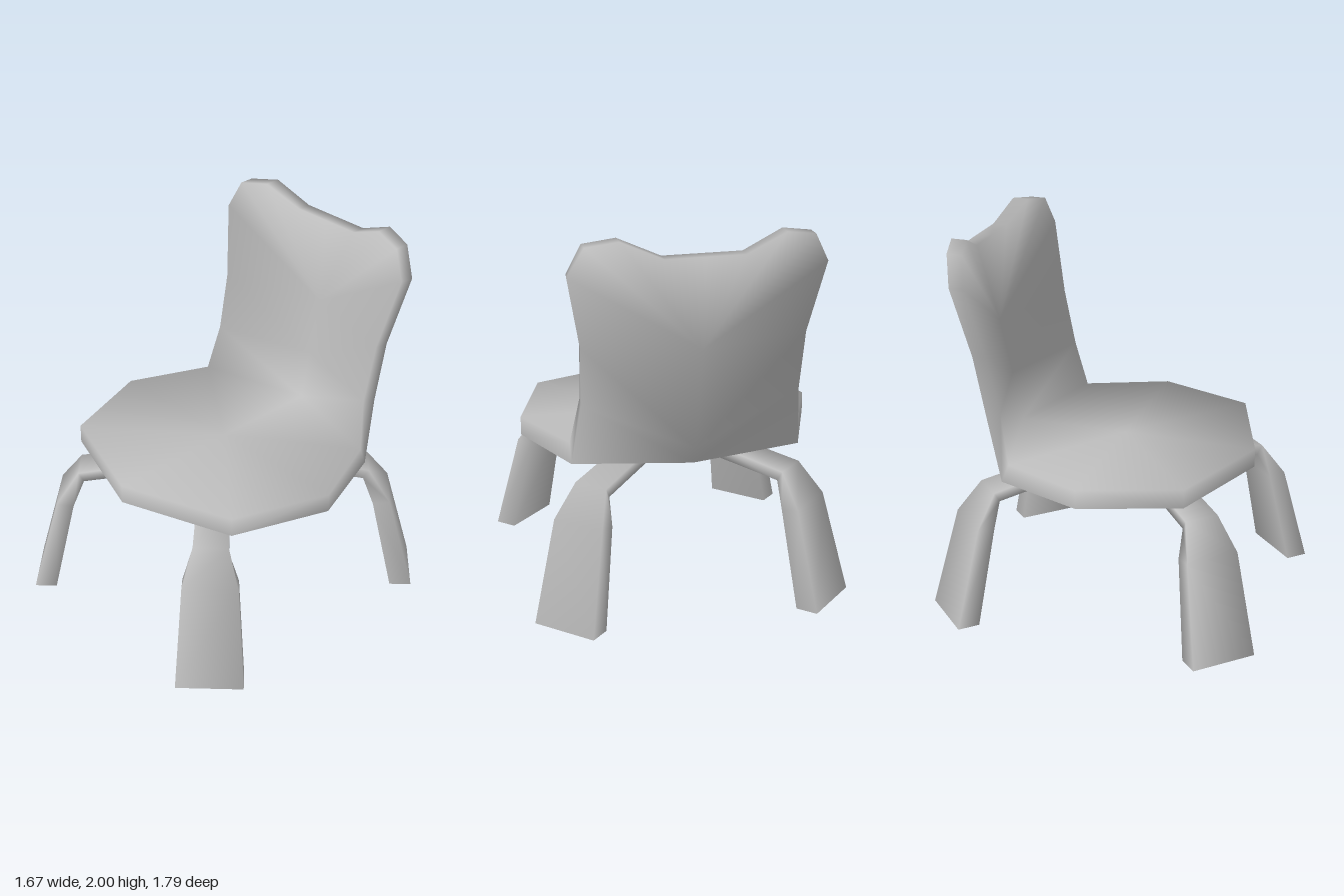
import * as THREE from 'three';
import { mergeVertices } from 'three/addons/utils/BufferGeometryUtils.js';

// Shells and legs are hollow and open underneath, so both sides show
const grey = new THREE.MeshStandardMaterial({ color: 0xbcbcbc, side: THREE.DoubleSide });
grey.name = 'light grey';

// Scale triangles by (sx, 1, sz), keeping them facing outward
function mirrored(tris, sx, sz) {
  return tris.map((tri) => {
    const t = tri.map(([x, y, z]) => [x * sx, y, z * sz]);
    return sx * sz < 0 ? t.reverse() : t;
  });
}

// Smooth normals weighted by corner angle, so thin edges look rounded
function softNormals(geo) {
  const pos = geo.attributes.position;
  const sums = Array.from({ length: pos.count }, () => new THREE.Vector3());
  const face = new THREE.Triangle();
  const normal = new THREE.Vector3();
  for (let i = 0; i < geo.index.count; i += 3) {
    const ids = [0, 1, 2].map((k) => geo.index.getX(i + k));
    face.setFromAttributeAndIndices(pos, ...ids);
    face.getNormal(normal);
    const p = [face.a, face.b, face.c];
    ids.forEach((id, k) => {
      const u = p[(k + 1) % 3].clone().sub(p[k]);
      const v = p[(k + 2) % 3].clone().sub(p[k]);
      sums[id].addScaledVector(normal, u.angleTo(v));
    });
  }
  const flat = sums.flatMap((n) => n.normalize().toArray());
  geo.setAttribute('normal', new THREE.Float32BufferAttribute(flat, 3));
}

// Smooth mesh from a list of triangles, sharing equal corners
function smoothMesh(tris, name) {
  let geo = new THREE.BufferGeometry();
  geo.setAttribute('position', new THREE.Float32BufferAttribute(tris.flat(2), 3));
  geo = mergeVertices(geo, 1e-4);
  softNormals(geo);
  const mesh = new THREE.Mesh(geo, grey);
  mesh.name = name;
  return mesh;
}

// Seat and backrest: one bent shell, hollow under the seat
function seatShell() {
  // Half of the rim, from the front of the seat to the top of the back: [inner, outer]
  const rim = [
    [[0, 0.88, 0.72], [0, 0.78, 0.72]],
    [[0.6, 0.88, 0.51], [0.6, 0.78, 0.51]],
    [[0.78, 0.88, 0], [0.78, 0.78, 0]],
    [[0.6, 0.88, -0.43], [0.6, 0.78, -0.47]],
    [[0.555, 1.14, -0.485], [0.565, 1.12, -0.56]],
    [[0.565, 1.44, -0.55], [0.575, 1.44, -0.62]],
    [[0.64, 1.82, -0.63], [0.65, 1.82, -0.7]],
    [[0.57, 1.97, -0.66], [0.57, 1.97, -0.74]],
    [[0.41, 2, -0.7], [0.41, 2, -0.785]],
    [[0.2, 1.91, -0.74], [0.2, 1.91, -0.815]],
    [[0, 1.91, -0.74], [0, 1.91, -0.815]],
  ];
  // Centre line: crease, lower back, middle of back
  const mid = [
    [[0, 0.88, -0.59], [0, 0.78, -0.6]],
    [[0, 1.14, -0.645], [0, 0.88, -0.66]],
    [[0, 1.44, -0.71], [0, 1.44, -0.78]],
  ];
  const half = [];

  // Seat top
  const seatMiddle = [0, 0.88, 0];
  for (let i = 0; i < 3; i++) half.push([seatMiddle, rim[i][0], rim[i + 1][0]]);
  half.push([seatMiddle, rim[3][0], mid[0][0]]);

  // Front and rear sheets of the backrest
  const sheet = [
    [mid[0], rim[3], rim[4]], [mid[0], rim[4], mid[1]],
    [mid[1], rim[4], rim[5]], [mid[1], rim[5], mid[2]],
  ];
  for (let i = 5; i < 10; i++) sheet.push([mid[2], rim[i], rim[i + 1]]);
  for (const tri of sheet) {
    half.push(tri.map((p) => p[0]));
    half.push(tri.map((p) => p[1]).reverse());
  }

  // Edge wall around the seat and backrest
  for (let i = 0; i < rim.length - 1; i++) {
    const [a, a2] = rim[i];
    const [b, b2] = rim[i + 1];
    half.push([b, a, a2], [b, a2, b2]);
  }
  return smoothMesh([...half, ...mirrored(half, -1, 1)], 'seatAndBack');
}

// One bent, flaring hollow leg running along the diagonal
function legTriangles() {
  // Sections from foot to inner end: outer reach, outer y, inner reach, inner y, half width
  const rings = [
    [0.71, 0, 0.627, 0, 0.125],
    [0.61, 0.53, 0.545, 0.52, 0.102],
    [0.525, 0.7, 0.505, 0.65, 0.065],
    [0.25, 0.765, 0.25, 0.705, 0.06],
  ].map(([to, yo, ti, yi, h]) => {
    const at = (t, y, s) => [t + s, y, t + 0.058 - s];
    return [at(to, yo, -h), at(to, yo, h), at(ti, yi, h), at(ti, yi, -h)];
  });
  const tris = [];
  for (let r = 0; r < rings.length - 1; r++) {
    for (let i = 0; i < 4; i++) {
      const j = (i + 1) % 4;
      const [lo, hi] = [rings[r], rings[r + 1]];
      tris.push([lo[i], lo[j], hi[j]], [lo[i], hi[j], hi[i]]);
    }
  }
  return tris;
}

export function createModel() {
  const chair = new THREE.Group();
  chair.name = 'chair';
  chair.add(seatShell());
  const leg = legTriangles();
  for (const [sz, row] of [[1, 'front'], [-1, 'back']]) {
    for (const [sx, side] of [[1, 'Left'], [-1, 'Right']]) {
      chair.add(smoothMesh(mirrored(leg, sx, sz), `${row}${side}Leg`));
    }
  }
  return chair;
}
